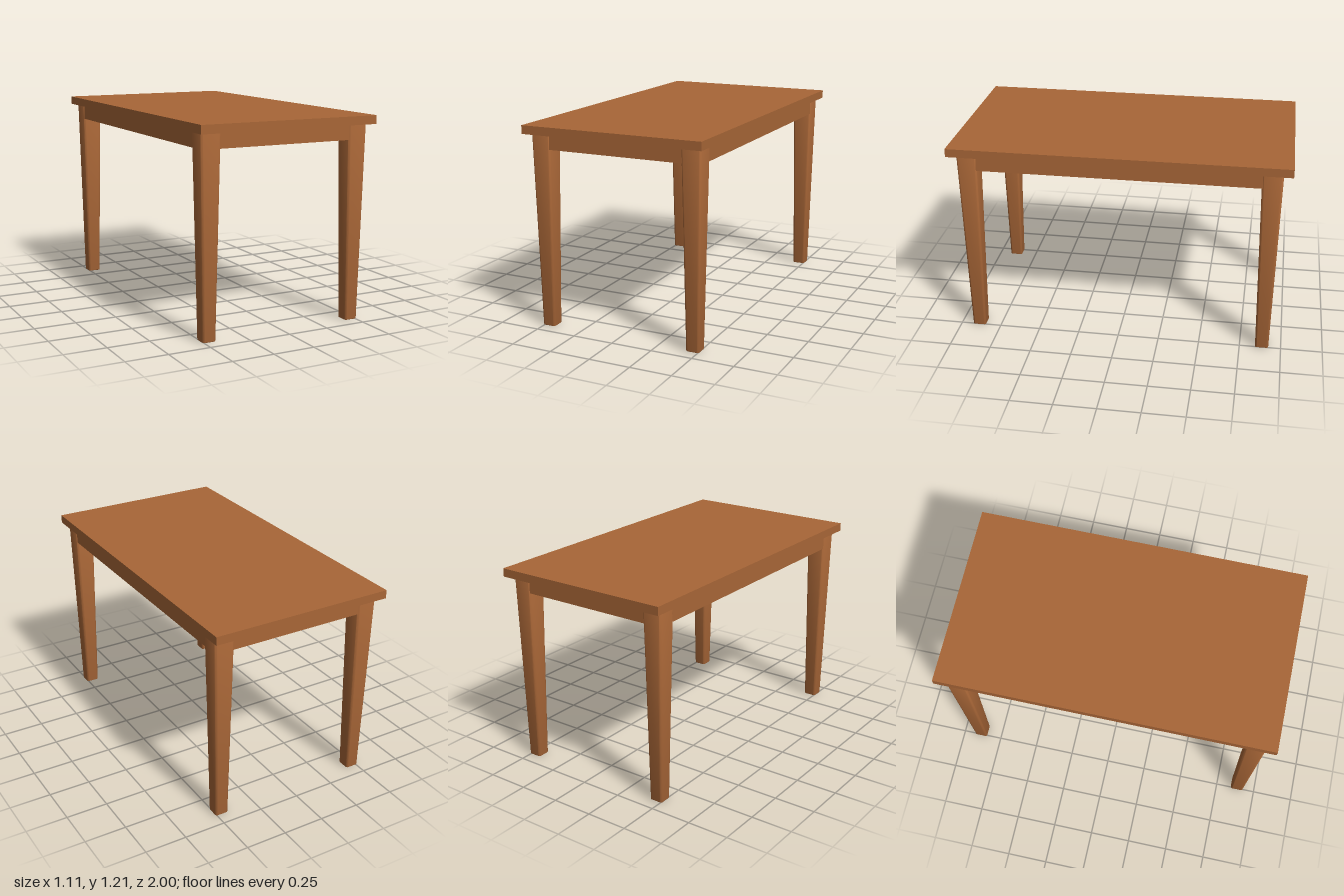
import * as THREE from 'three';
import { toCreasedNormals } from 'three/addons/utils/BufferGeometryUtils.js';

const WIDTH = 1.11, LENGTH = 2, HEIGHT = 1.21, TOP = 0.05;
const LEG_X = 0.468, LEG_Z = 0.885, LEG_HEIGHT = HEIGHT - TOP;
const LEG_HALF = 0.061, FOOT_HALF = 0.04;
const APRON_H = 0.09, APRON_T = 0.05, RECESS = 0.006;

// Square leg with rounded corners and eased ends, tapering towards the foot
function legGeometry() {
  const h = LEG_HALF, r = 0.018, bevel = 0.006;
  const s = new THREE.Shape();
  s.moveTo(-h + r, -h);
  s.lineTo(h - r, -h);
  s.absarc(h - r, -h + r, r, -Math.PI / 2, 0);
  s.lineTo(h, h - r);
  s.absarc(h - r, h - r, r, 0, Math.PI / 2);
  s.lineTo(-h + r, h);
  s.absarc(-h + r, h - r, r, Math.PI / 2, Math.PI);
  s.lineTo(-h, -h + r);
  s.absarc(-h + r, -h + r, r, Math.PI, Math.PI * 1.5);
  const geo = new THREE.ExtrudeGeometry(s, {
    depth: LEG_HEIGHT - 2 * bevel, curveSegments: 5,
    bevelThickness: bevel, bevelSize: bevel, bevelOffset: -bevel, bevelSegments: 2,
  });
  geo.rotateX(-Math.PI / 2).translate(0, bevel, 0);
  const p = geo.attributes.position;
  for (let i = 0; i < p.count; i++) {
    const k = THREE.MathUtils.lerp(FOOT_HALF / LEG_HALF, 1, p.getY(i) / LEG_HEIGHT);
    p.setX(i, p.getX(i) * k);
    p.setZ(i, p.getZ(i) * k);
  }
  return toCreasedNormals(geo, 0.6);
}

export function createModel() {
  const table = new THREE.Group();
  table.name = 'table';
  const wood = new THREE.MeshStandardMaterial({ color: 0xa86637 });

  const add = (name, geo, x, y, z) => {
    const mesh = new THREE.Mesh(geo, wood);
    mesh.name = name;
    mesh.position.set(x, y, z);
    table.add(mesh);
  };

  add('tabletop', new THREE.BoxGeometry(WIDTH, TOP, LENGTH), 0, HEIGHT - TOP / 2, 0);

  // Four legs
  const leg = legGeometry();
  for (const [side, sx] of [['Left', 1], ['Right', -1]])
    for (const [end, sz] of [['front', 1], ['back', -1]])
      add(`${end}${side}Leg`, leg, sx * LEG_X, 0, sz * LEG_Z);

  // Aprons between the legs, almost flush with their outer faces
  const y = LEG_HEIGHT - APRON_H / 2;
  const inset = LEG_HALF - RECESS - APRON_T / 2;
  const endApron = new THREE.BoxGeometry(2 * LEG_X - 0.06, APRON_H, APRON_T);
  const sideApron = new THREE.BoxGeometry(APRON_T, APRON_H, 2 * LEG_Z - 0.06);
  add('frontApron', endApron, 0, y, LEG_Z + inset);
  add('backApron', endApron, 0, y, -LEG_Z - inset);
  add('leftApron', sideApron, LEG_X + inset, y, 0);
  add('rightApron', sideApron, -LEG_X - inset, y, 0);

  return table;
}
